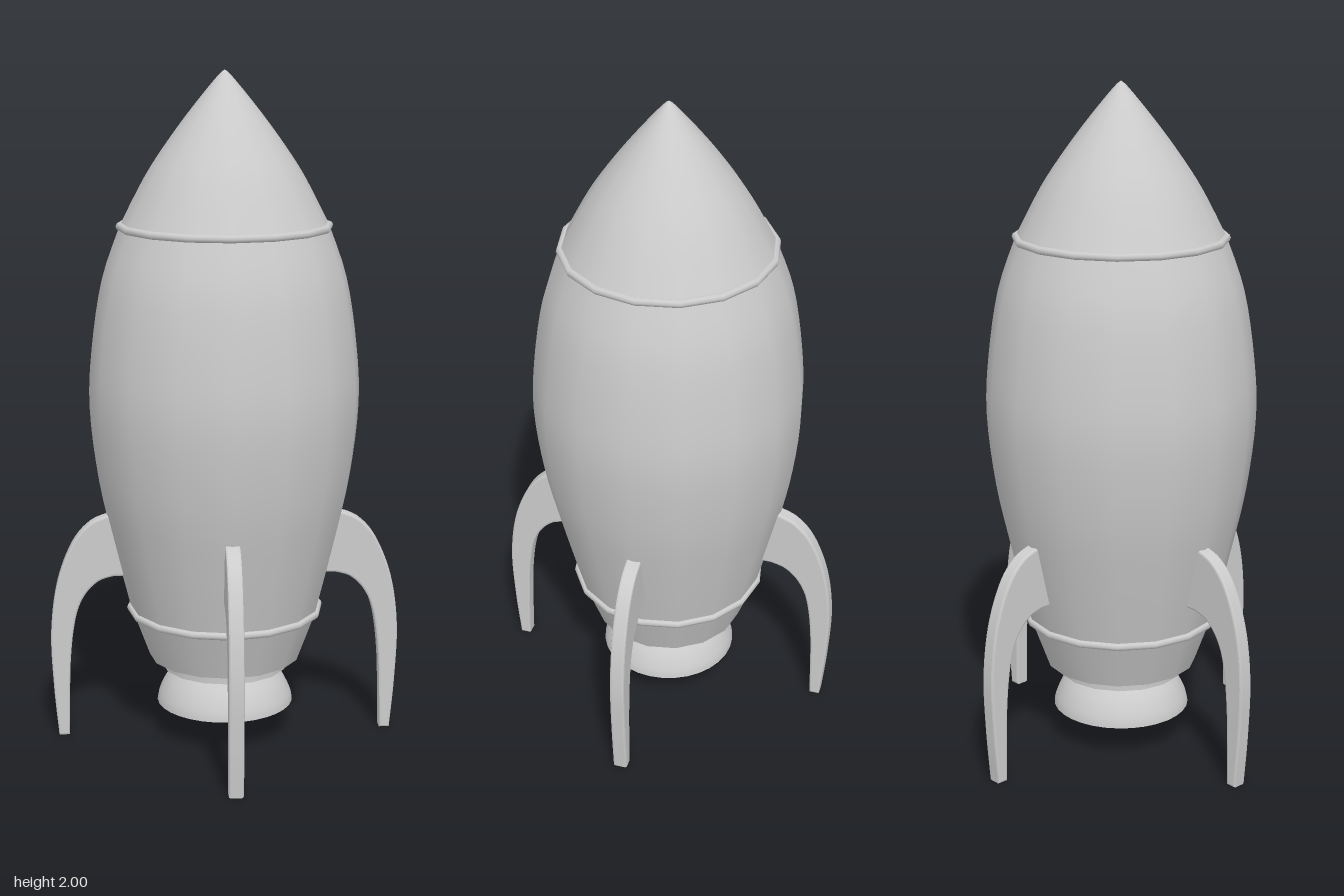
import * as THREE from 'three';

const material = new THREE.MeshStandardMaterial({ color: 0xcccccc, side: THREE.DoubleSide });

const mesh = (name, geometry) => {
  const m = new THREE.Mesh(geometry, material);
  m.name = name;
  return m;
};

// Turned part from [radius, height] pairs, listed bottom to top on the outside
const turned = (name, points, sides) =>
  mesh(name, new THREE.LatheGeometry(points.map(([r, y]) => new THREE.Vector2(r, y)), sides));

// Smooth profile drawn through a few points
const smoothProfile = (points, n) =>
  new THREE.SplineCurve(points.map(([r, y]) => new THREE.Vector2(r, y)))
    .getPoints(n).map(p => [Math.max(p.x, 0), p.y]);

// Thin band with rounded section around the hull
const band = (name, radius, y, half) => {
  const section = [];
  for (let i = 0; i <= 8; i++) {
    const a = -Math.PI / 2 + (i / 8) * Math.PI * 2;
    section.push([radius + Math.cos(a) * half, y + Math.sin(a) * half]);
  }
  return turned(name, section, 16);
};

// Curved landing fin, drawn as radius against height
const finGeometry = () => {
  const thickness = 0.044, bevel = 0.006;
  const v = (x, y) => new THREE.Vector2(x, y);
  const shape = new THREE.Shape();
  shape.moveTo(0.27, 0.51);
  shape.lineTo(0.335, 0.51);
  shape.splineThru([v(0.385, 0.493), v(0.43, 0.445), v(0.458, 0.37), v(0.475, 0.23), v(0.482, 0.006)]);
  shape.lineTo(0.502, 0.006);
  shape.splineThru([v(0.515, 0.16), v(0.52, 0.33), v(0.5, 0.48), v(0.455, 0.6), v(0.4, 0.665), v(0.335, 0.692)]);
  shape.lineTo(0.27, 0.692);
  shape.closePath();
  const g = new THREE.ExtrudeGeometry(shape, {
    depth: thickness - 2 * bevel, curveSegments: 16,
    bevelEnabled: true, bevelThickness: bevel, bevelSize: bevel, bevelSegments: 2,
  });
  g.translate(0, 0, -thickness / 2 + bevel);
  return g;
};

export function createModel() {
  const rocket = new THREE.Group();
  rocket.name = 'rocket';

  // Hull: tapered skirt, main body and nose cone
  rocket.add(turned('skirt', [[0.228, 0.25], [0.283, 0.4]], 16));
  rocket.add(turned('skirtFloor', [[0, 0.25], [0.228, 0.25]], 16));
  rocket.add(turned('body', smoothProfile([
    [0.283, 0.4], [0.332, 0.6], [0.375, 0.8], [0.399, 1.02], [0.39, 1.2], [0.358, 1.4], [0.303, 1.56],
  ], 24), 16));
  rocket.add(turned('noseCone', smoothProfile([
    [0.303, 1.56], [0.23, 1.7], [0.157, 1.81], [0.085, 1.905], [0.02, 1.983], [0, 2],
  ], 20), 16));

  // Bands at the hull joints
  rocket.add(band('upperBand', 0.304, 1.555, 0.012));
  rocket.add(band('lowerBand', 0.284, 0.4, 0.012));

  // Engine: collar, flared nozzle with a flat rim and a deep bore
  const engine = new THREE.Group();
  engine.name = 'engine';
  engine.add(turned('collar', [[0.19, 0.217], [0.19, 0.255]], 16));
  engine.add(turned('collarFloor', [[0.08, 0.217], [0.19, 0.217]], 16));
  engine.add(turned('nozzle', smoothProfile([
    [0.206, 0.103], [0.2, 0.13], [0.178, 0.175], [0.142, 0.22],
  ], 10), 32));
  engine.add(turned('nozzleRim', [[0.085, 0.103], [0.206, 0.103]], 32));
  engine.add(turned('bore', [[0.08, 0.248], [0.085, 0.103]], 32));
  rocket.add(engine);

  // Four fins on the diagonals
  const fin = finGeometry();
  for (let i = 0; i < 4; i++) {
    const m = mesh('fin' + (i + 1), fin);
    m.rotation.y = Math.PI / 4 + (i * Math.PI) / 2;
    rocket.add(m);
  }
  return rocket;
}
